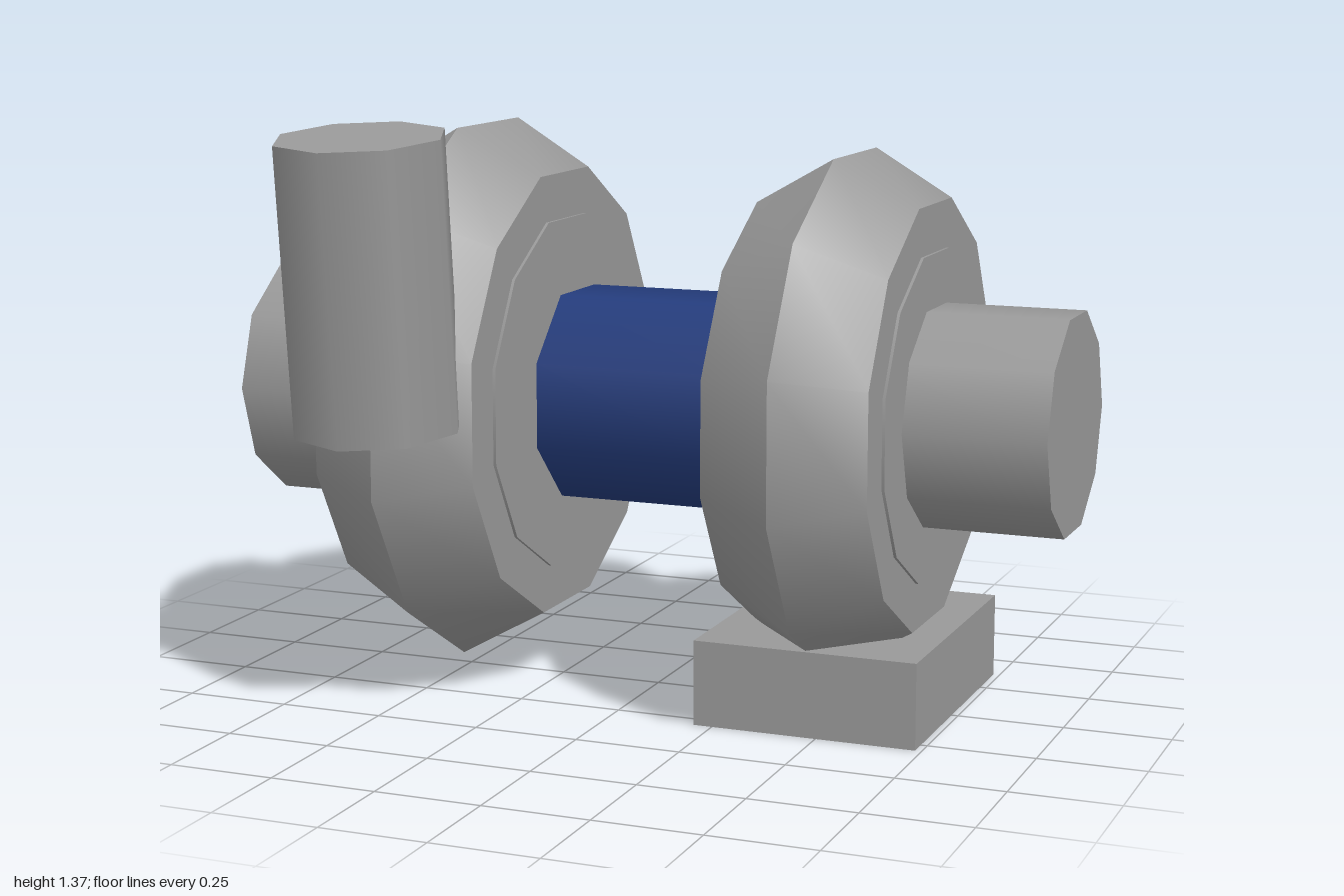
import * as THREE from 'three';
import { toCreasedNormals } from 'three/addons/utils/BufferGeometryUtils.js';

const AXIS_Y = 0.7, AXIS_Z = -0.04;   // shaft line running along x

export function createModel() {
  const model = new THREE.Group();
  model.name = 'turbine';

  const material = (name, color) => {
    const m = new THREE.MeshStandardMaterial({ color });
    m.name = name;
    return m;
  };
  const grey = material('castGrey', 0x999999);
  const navy = material('navyBlue', 0x243c7c);
  const blue = material('brightBlue', 0x3a88cc);
  const black = material('black', 0x080808);

  const add = (name, geometry, mat, x, y, z) => {
    const mesh = new THREE.Mesh(geometry, mat);
    mesh.name = name;
    mesh.position.set(x, y, z);
    model.add(mesh);
    return mesh;
  };

  // cylinder along the shaft, from x0 to x1
  const drum = (name, mat, radius, x0, x1, sides, turn = 0) => {
    const g = new THREE.CylinderGeometry(radius, radius, x1 - x0, sides, 1, false, turn);
    g.rotateZ(-Math.PI / 2);
    return add(name, g, mat, (x0 + x1) / 2, AXIS_Y, AXIS_Z);
  };

  // twelve-sided ring housing with a hexagonal section
  const housing = (name, x, ring, tube) => {
    const g = new THREE.TorusGeometry(ring, tube, 6, 12);
    g.rotateZ(Math.PI / 12);
    g.rotateY(Math.PI / 2);
    add(name, toCreasedNormals(g, 0.7), grey, x, AXIS_Y, AXIS_Z);
  };

  // left-hand end: compressor
  housing('compressorHousing', -0.457, 0.429, 0.231);
  drum('compressorBackplate', grey, 0.43, -0.665, -0.25, 12, Math.PI / 12);
  drum('compressorInlet', grey, 0.295, -0.985, -0.6, 10);
  drum('inletOpening', black, 0.25, -0.999, -0.99, 10);
  drum('inletOpeningSeat', black, 0.24, -0.991, -0.98, 10);

  // right-hand end: turbine
  housing('turbineHousing', 0.471, 0.394, 0.222);
  drum('turbineBackplate', grey, 0.389, 0.27, 0.67, 12, Math.PI / 12).position.z = -0.03;
  drum('turbineOutlet', grey, 0.262, 0.6, 1, 10);

  // bearing core between the housings
  drum('bearingCore', navy, 0.263, -0.225, 0.235, 8, Math.PI / 8);

  // leaning outlet pipe
  const pipe = add('outletPipe', new THREE.CylinderGeometry(0.1975, 0.1975, 0.663, 8), grey, -0.457, 1.025, 0.588);
  pipe.rotation.x = 0.099;

  // mounting foot
  add('mountingFoot', new THREE.BoxGeometry(0.53, 0.2, 0.665), grey, 0.47, 0.1, -0.0375);

  // actuator canister and its rod
  add('actuator', new THREE.CylinderGeometry(0.1975, 0.1975, 0.2, 8, 1, false, Math.PI / 8), blue, -0.2575, 0.465, -0.6375);
  const a = new THREE.Vector3(-0.2, 0.465, -0.63), b = new THREE.Vector3(0.36, 0.495, -0.502);
  const span = b.clone().sub(a);
  const mid = a.clone().add(b).multiplyScalar(0.5);
  const rod = add('actuatorRod', new THREE.CylinderGeometry(0.019, 0.019, span.length(), 8), navy, mid.x, mid.y, mid.z);
  rod.quaternion.setFromUnitVectors(new THREE.Vector3(0, 1, 0), span.normalize());

  return model;
}
